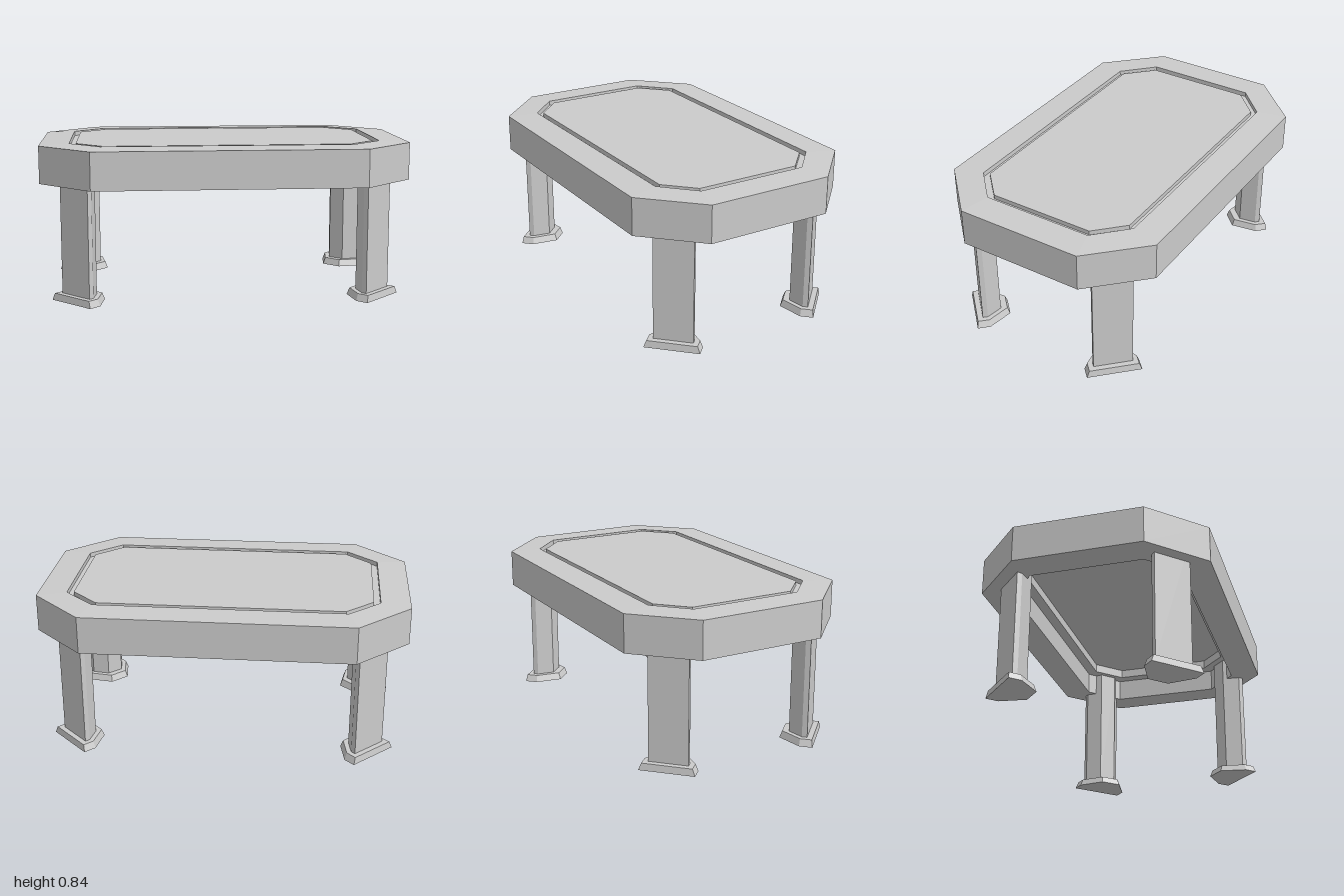
import * as THREE from 'three';

const material = new THREE.MeshStandardMaterial({ color: 0xcccccc, flatShading: true, side: THREE.DoubleSide });

// Skins a stack of rings ({ y, pts: [[x, z], ...] }, listed top to bottom) and caps both ends
function loft(name, rings) {
  const pos = [];
  const tri = (...corners) => corners.forEach((c) => pos.push(...c));
  const at = ({ y, pts }, i) => {
    const [x, z] = pts[i % pts.length];
    return [x, y, z];
  };
  const centre = ({ y, pts }) => [
    pts.reduce((s, p) => s + p[0], 0) / pts.length, y,
    pts.reduce((s, p) => s + p[1], 0) / pts.length,
  ];
  const n = rings[0].pts.length;
  const first = rings[0], last = rings[rings.length - 1];
  for (let i = 0; i < n; i++) {
    tri(centre(first), at(first, i + 1), at(first, i));
    for (let r = 0; r < rings.length - 1; r++) {
      const a = rings[r], b = rings[r + 1];
      tri(at(a, i), at(a, i + 1), at(b, i + 1));
      tri(at(a, i), at(b, i + 1), at(b, i));
    }
    tri(centre(last), at(last, i), at(last, i + 1));
  }
  const geometry = new THREE.BufferGeometry();
  geometry.setAttribute('position', new THREE.Float32BufferAttribute(pos, 3));
  geometry.computeVertexNormals();
  const mesh = new THREE.Mesh(geometry, material);
  mesh.name = name;
  return mesh;
}

// Rectangle with cut corners: half sizes hx, hz; corners start at cx, cz
const octagon = (hx, hz, cx, cz) => [
  [hx, -cz], [hx, cz], [cx, hz], [-cx, hz],
  [-hx, cz], [-hx, -cz], [-cx, -hz], [cx, -hz],
];

// Six-sided leg section: one half given, the other reflected across the corner diagonal
function legSection(half, sx, sz) {
  const k = 0.373;
  const other = half.map(([x, z]) => [z + k, x - k]);
  const pts = [other[0], ...half, other[2], other[1]].map(([x, z]) => [x * sx, z * sz]);
  return sx * sz < 0 ? pts.reverse() : pts;
}

const scaleAbout = (pts, cx, cz, s) => pts.map(([x, z]) => [cx + (x - cx) * s, cz + (z - cz) * s]);

export function createModel() {
  const model = new THREE.Group();
  model.name = 'table';

  // Tabletop: grooved panel, sloping border, deep rim and stepped hollow underside
  const outer = octagon(1, 0.628, 0.72, 0.35);
  const inner = octagon(0.84, 0.467, 0.672, 0.307);
  const panel = octagon(0.805, 0.435, 0.658, 0.293);
  const ceiling = octagon(0.78, 0.41, 0.645, 0.275);
  model.add(loft('tabletop', [
    { y: 0.838, pts: panel },
    { y: 0.815, pts: panel },
    { y: 0.815, pts: inner },
    { y: 0.84, pts: inner },
    { y: 0.833, pts: outer },
    { y: 0.63, pts: outer },
    { y: 0.624, pts: inner },
    { y: 0.75, pts: inner },
    { y: 0.75, pts: ceiling },
    { y: 0.8, pts: ceiling },
  ]));

  // Four legs set diagonally at the corners, each on a flared foot
  const legHalf = [[0.74, 0.517], [0.72, 0.497], [0.705, 0.4]];
  const footHalf = [[0.735, 0.572], [0.685, 0.522], [0.663, 0.372]];
  const legs = new THREE.Group();
  legs.name = 'legs';
  legs.position.z = 0.008;
  for (const sx of [1, -1]) {
    for (const sz of [1, -1]) {
      const place = `${sz > 0 ? 'front' : 'back'}${sx > 0 ? 'Left' : 'Right'}`;
      const shaft = legSection(legHalf, sx, sz);
      const sole = legSection(footHalf, sx, sz);
      legs.add(
        loft(`${place}Leg`, [{ y: 0.75, pts: shaft }, { y: 0.03, pts: shaft }]),
        loft(`${place}Foot`, [
          { y: 0.038, pts: scaleAbout(sole, 0.8 * sx, 0.427 * sz, 0.9) },
          { y: 0, pts: sole },
        ]),
      );
    }
  }
  model.add(legs);
  return model;
}
